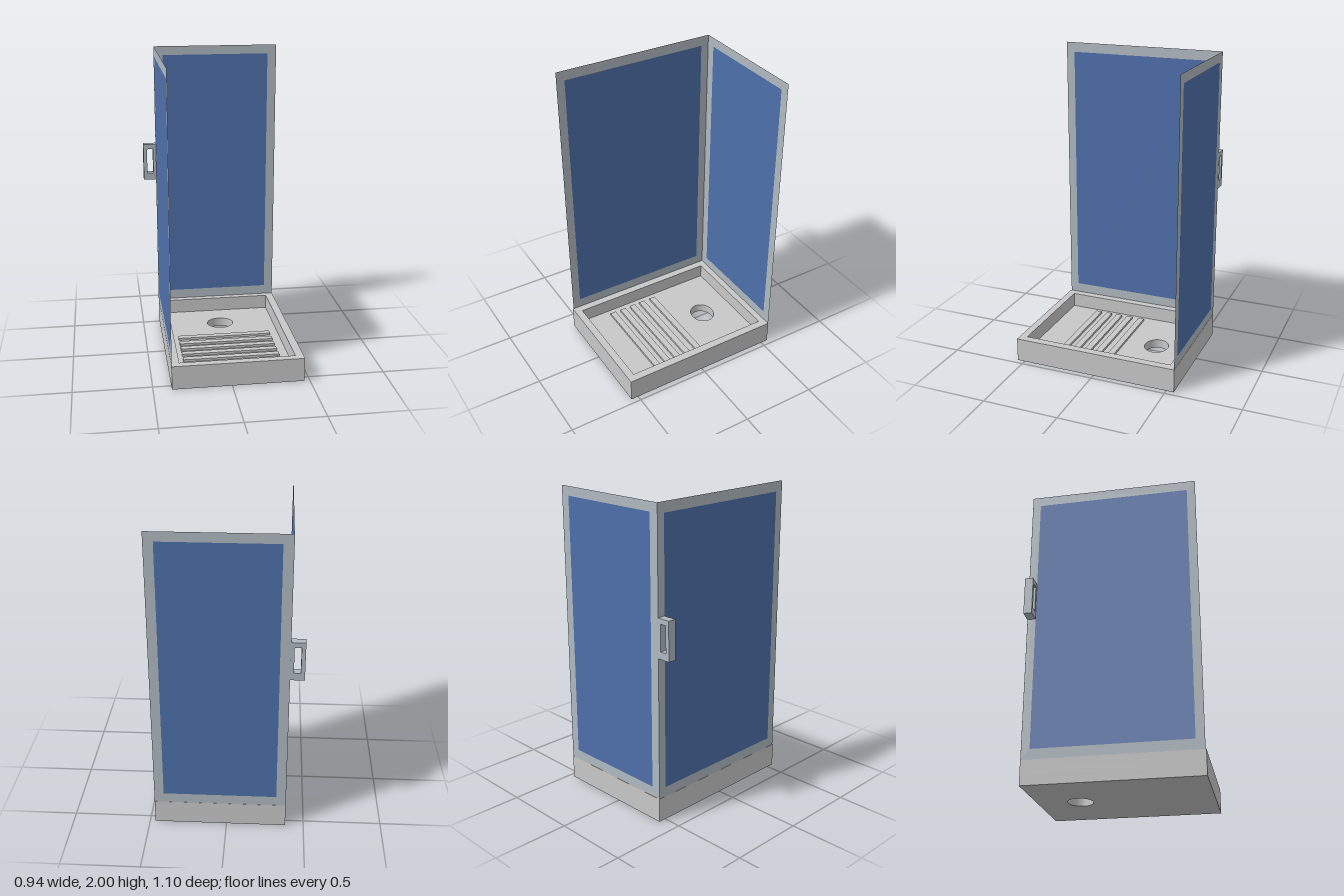
import * as THREE from 'three';

const trayGrey = new THREE.MeshStandardMaterial({ color: 0xc8c8c8 });
const frameGrey = new THREE.MeshStandardMaterial({ color: 0xb0bac1, side: THREE.DoubleSide });
const glassBlue = new THREE.MeshStandardMaterial({ color: 0x4e70ab, side: THREE.DoubleSide });
trayGrey.name = 'trayGrey';
frameGrey.name = 'frameGrey';
glassBlue.name = 'glassBlue';

// Rectangle outline from corner to corner
function rect(x0, y0, x1, y1, Type = THREE.Shape) {
  return new Type([[x0, y0], [x1, y0], [x1, y1], [x0, y1]].map(([x, y]) => new THREE.Vector2(x, y)));
}

function mesh(name, geometry, material) {
  const m = new THREE.Mesh(geometry, material);
  m.name = name;
  return m;
}

// Plan shape (x, -z) raised into a slab between two heights
function slab(shape, y0, y1) {
  return new THREE.ExtrudeGeometry(shape, { depth: y1 - y0, bevelEnabled: false, curveSegments: 32 })
    .rotateX(-Math.PI / 2).translate(0, y0, 0);
}

// Thin wall: a flat border around a coloured pane
function wall(name, outer, inner) {
  const g = new THREE.Group();
  g.name = name;
  const border = rect(...outer);
  border.holes.push(rect(...inner, THREE.Path));
  g.add(mesh('wallFrame', new THREE.ShapeGeometry(border), frameGrey));
  g.add(mesh('wallPane', new THREE.ShapeGeometry(rect(...inner)), glassBlue));
  return g;
}

export function createModel() {
  const model = new THREE.Group();
  model.name = 'showerCabin';
  const rimTop = 0.157, floorTop = 0.06;

  // Tray: floor with drain hole, raised rim, anti-slip ridges
  const tray = new THREE.Group();
  tray.name = 'tray';
  const base = rect(-0.382, -0.55, 0.465, 0.55);
  const drain = new THREE.Path();
  drain.absellipse(0.037, 0.28, 0.091, 0.08, 0, Math.PI * 2, false);
  base.holes.push(drain);
  tray.add(mesh('trayFloor', slab(base, 0, floorTop), trayGrey));

  const rim = rect(-0.382, -0.55, 0.465, 0.55);
  rim.holes.push(rect(-0.33, -0.501, 0.412, 0.506, THREE.Path));
  tray.add(mesh('trayRim', slab(rim, floorTop, rimTop), trayGrey));

  for (const z of [-0.046, 0.042, 0.121, 0.2, 0.28]) {
    const ridge = mesh('floorRidge', new THREE.BoxGeometry(0.635, 0.015, 0.042), trayGrey);
    ridge.position.set(0.0335, floorTop + 0.0075, z);
    tray.add(ridge);
  }
  model.add(tray);

  // Back wall
  const back = wall('backWall', [-0.382, rimTop, 0.465, 2], [-0.32, 0.222, 0.405, 1.94]);
  back.position.z = -0.549;
  model.add(back);

  // Right side wall, drawn along z
  const side = wall('sideWall', [-0.545, rimTop, 0.549, 2], [-0.49, 0.222, 0.496, 1.935]);
  side.rotation.y = Math.PI / 2;
  side.position.x = -0.381;
  model.add(side);

  // Handle at the corner
  const grip = rect(-0.47, 1.083, -0.382, 1.333);
  grip.holes.push(rect(-0.445, 1.13, -0.403, 1.3, THREE.Path));
  const handle = mesh('handle', new THREE.ExtrudeGeometry(grip, { depth: 0.053, bevelEnabled: false }), frameGrey);
  handle.position.z = -0.55;
  model.add(handle);

  return model;
}
